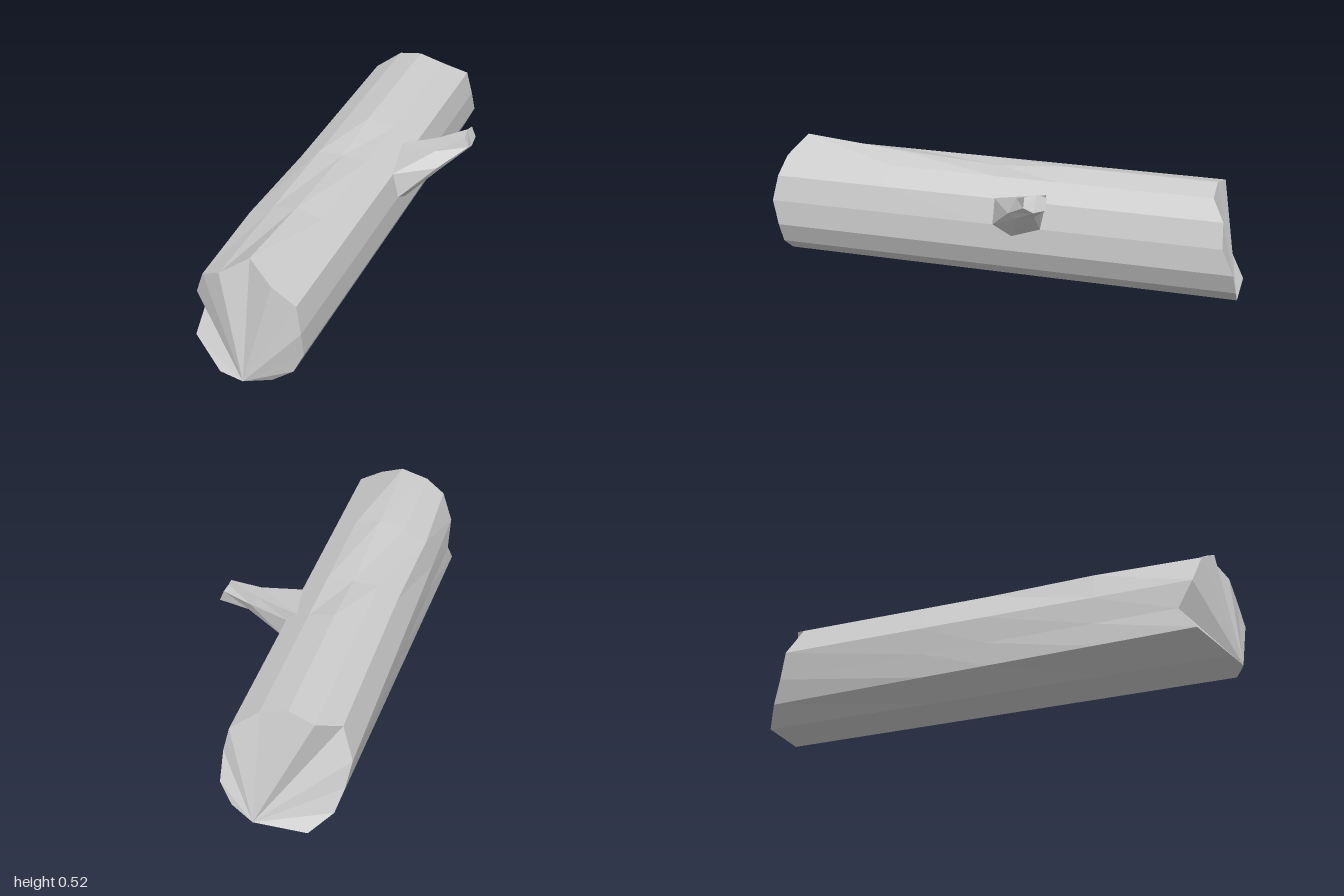
import * as THREE from 'three';

const material = new THREE.MeshStandardMaterial({ color: 0xcccccc, flatShading: true });

// Joins rings of points (counter-clockwise seen from the last ring) and closes
// both ends with a fan that starts at the given corner.
function loft(name, rings, firstFan, lastFan) {
  const pos = [];
  const tri = (a, b, c) => pos.push(...a, ...b, ...c);
  const n = rings[0].length;
  for (let r = 0; r < rings.length - 1; r++) {
    const a = rings[r], b = rings[r + 1];
    for (let i = 0; i < n; i++) {
      const j = (i + 1) % n;
      tri(a[i], a[j], b[j]);
      tri(a[i], b[j], b[i]);
    }
  }
  const first = rings[0], last = rings[rings.length - 1];
  for (let k = 1; k < n - 1; k++) {
    const f = i => first[(firstFan + i) % n];
    const l = i => last[(lastFan + i) % n];
    tri(f(0), f(k + 1), f(k));
    tri(l(0), l(k), l(k + 1));
  }
  const geometry = new THREE.BufferGeometry();
  geometry.setAttribute('position', new THREE.Float32BufferAttribute(pos, 3));
  geometry.computeVertexNormals();
  const mesh = new THREE.Mesh(geometry, material);
  mesh.name = name;
  return mesh;
}

export function createModel() {
  const model = new THREE.Group();
  model.name = 'fallenLog';

  // Ragged front end, from the top ridge round the left side
  const front = [
    [-0.11, 0.5, 0.89], [0, 0.437, 0.945], [0.1, 0.38, 0.95], [0.125, 0.275, 0.97],
    [0.125, 0.165, 0.95], [0.08, 0.07, 0.95], [-0.01, 0, 0.95], [-0.11, 0, 1],
    [-0.215, 0, 0.98], [-0.36, 0.07, 0.89], [-0.35, 0.165, 0.82], [-0.348, 0.275, 0.88],
    [-0.3, 0.39, 0.91], [-0.215, 0.437, 0.94],
  ];
  // Ragged back end
  const back = [
    [-0.11, 0.465, -0.88], [0, 0.437, -0.88], [0.1, 0.38, -0.935], [0.125, 0.275, -0.94],
    [0.125, 0.165, -0.99], [0.08, 0.07, -1], [0, 0, -1], [-0.11, 0, -1],
    [-0.215, 0, -1], [-0.3, 0.07, -0.94], [-0.33, 0.165, -0.9], [-0.35, 0.275, -0.87],
    [-0.3, 0.39, -0.82], [-0.215, 0.437, -0.9],
  ];
  // Rings between the ends: straight sides, with the ridge dipping in the middle
  const middle = (z, ridge, shoulder) => front.map((p, i) => {
    const q = back[i];
    const t = (p[2] - z) / (p[2] - q[2]);
    const x = p[0] + (q[0] - p[0]) * t;
    const y = p[1] + (q[1] - p[1]) * t;
    if (i === 0) return [x, ridge, z];
    if (i === 12) return [x - shoulder, y, z];
    return [x, y, z];
  });
  model.add(loft('trunk', [
    front,
    middle(0.48, 0.466, 0.015),
    middle(0.03, 0.442, 0),
    middle(-0.25, 0.465, 0),
    back,
  ], 7, 6));

  // Tapering branch stub, bent once
  model.add(loft('branchStub', [
    [[0, 0.38, -0.2], [0.03, 0.36, -0.03], [0.06, 0.27, -0.02],
      [0.06, 0.21, -0.08], [0.06, 0.26, -0.19], [0.04, 0.35, -0.21]],
    [[0.06, 0.402, -0.21], [0.095, 0.38, 0], [0.125, 0.275, 0],
      [0.125, 0.232, -0.08], [0.125, 0.275, -0.2], [0.1, 0.37, -0.215]],
    [[0.225, 0.465, -0.22], [0.235, 0.45, -0.13], [0.255, 0.39, -0.1],
      [0.26, 0.37, -0.13], [0.265, 0.39, -0.21], [0.25, 0.43, -0.23]],
    [[0.335, 0.517, -0.24], [0.342, 0.505, -0.19], [0.36, 0.465, -0.19],
      [0.36, 0.448, -0.23], [0.36, 0.465, -0.28], [0.342, 0.51, -0.28]],
  ], 0, 0));

  return model;
}
